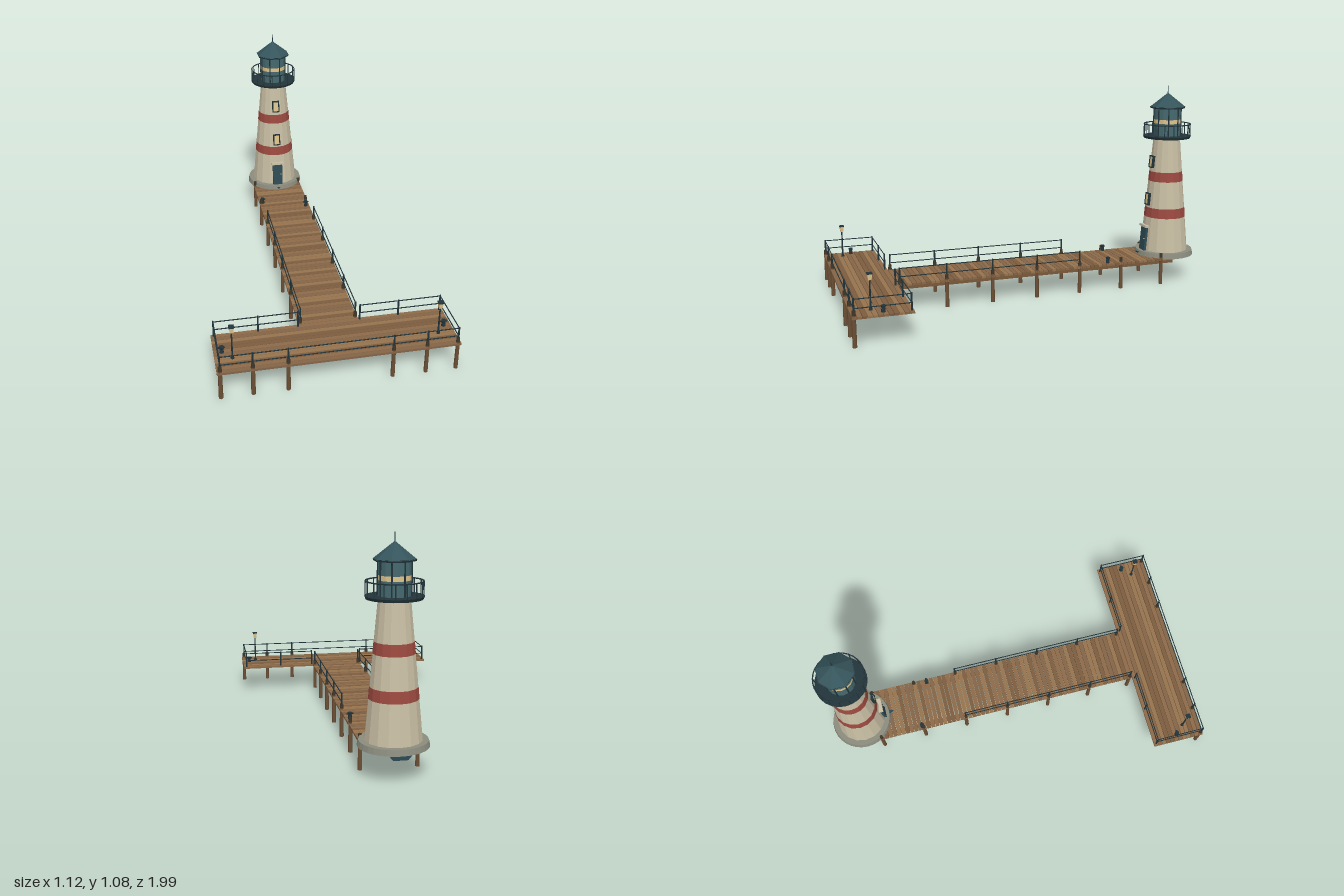
import * as THREE from 'three';

const mat = (color, extra = {}) => new THREE.MeshStandardMaterial({ color, flatShading: true, ...extra });
const M = {
  planks: [0x8c6a48, 0x7d5d3f, 0x96734f, 0x846446].map((c) => mat(c)),
  pile: mat(0x6b4f35), beam: mat(0x7a5a3a), collar: mat(0x3f3628),
  iron: mat(0x22343a), roof: mat(0x35545b), glass: mat(0x45696f),
  wall: mat(0xc9bfa4), red: mat(0x9c4a40), stone: mat(0x8b8c7e),
  glow: mat(0xe0c48c), door: mat(0x2f4c55), boat: mat(0x2b4a54),
};
const DECK = 0.144;
const TZ = -0.835; // tower axis

export function createModel() {
  const root = new THREE.Group();
  const group = (name, parent = root) => {
    const g = new THREE.Group();
    g.name = name;
    parent.add(g);
    return g;
  };
  const add = (parent, name, geo, material, x = 0, y = 0, z = 0) => {
    const m = new THREE.Mesh(geo, material);
    m.name = name;
    m.position.set(x, y, z);
    parent.add(m);
    return m;
  };
  const box = (p, name, w, h, d, material, x, y, z) =>
    add(p, name, new THREE.BoxGeometry(w, h, d), material, x, y, z);
  // Upright cylinder between two heights
  const post = (p, name, rTop, rBot, y0, y1, sides, material, x, z) =>
    add(p, name, new THREE.CylinderGeometry(rTop, rBot, y1 - y0, sides), material, x, (y0 + y1) / 2, z);
  // Thin bar between two points
  const bar = (p, name, a, b, r, material) => {
    const va = new THREE.Vector3(...a), vb = new THREE.Vector3(...b);
    const dir = vb.clone().sub(va);
    const m = add(p, name, new THREE.CylinderGeometry(r, r, dir.length(), 6), material);
    m.position.copy(va).add(vb).multiplyScalar(0.5);
    m.quaternion.setFromUnitVectors(new THREE.Vector3(0, 1, 0), dir.normalize());
  };

  // Decking: planks across x
  const decking = (name, halfW, z0, z1, count) => {
    const g = group(name);
    const pitch = (z1 - z0) / count;
    for (let i = 0; i < count; i++)
      box(g, 'plank', halfW * 2, 0.011, pitch * 0.9, M.planks[(i * 7 + (i >> 2)) % 4],
        0, DECK - 0.0055, z0 + (i + 0.5) * pitch);
  };
  decking('walkwayDeck', 0.143, -0.83, 0.712, 64);
  decking('pierHeadDeck', 0.562, 0.712, 0.996, 12);
  for (const s of [-1, 1]) box(root, 'stringer', 0.018, 0.022, 1.53, M.beam, s * 0.113, 0.122, -0.065);

  // Piles with dark collars
  const piles = group('piles');
  const pile = (x, z) => {
    post(piles, 'pile', 0.0095, 0.0105, 0, 0.15, 8, M.pile, x, z);
    post(piles, 'pileCollar', 0.008, 0.0095, 0.15, 0.172, 8, M.collar, x, z);
  };
  const sideZ = [0.7, 0.46, 0.218, -0.024, -0.266, -0.508, -0.75];
  const frontX = [0.548, 0.402, 0.243];
  for (const s of [-1, 1]) {
    sideZ.forEach((z) => pile(s * 0.134, z));
    frontX.forEach((x) => pile(s * x, 0.985));
  }

  // Railings: posts plus two rails
  const rails = group('railings');
  const railPost = (x, z) => post(rails, 'railPost', 0.004, 0.005, DECK, 0.229, 6, M.iron, x, z);
  const railPair = (x0, z0, x1, z1) => {
    for (const y of [0.181, 0.224]) bar(rails, 'rail', [x0, y, z0], [x1, y, z1], 0.0026, M.iron);
  };
  railPair(-0.548, 0.985, 0.548, 0.985);
  for (const s of [-1, 1]) {
    sideZ.slice(0, 5).forEach((z) => railPost(s * 0.134, z));
    railPair(s * 0.134, 0.7, s * 0.134, -0.266);
    frontX.forEach((x) => railPost(s * x, 0.985));
    railPair(s * 0.548, 0.985, s * 0.548, 0.725);
    railPair(s * 0.548, 0.725, s * 0.15, 0.725);
    [0.548, 0.34, 0.15].forEach((x) => railPost(s * x, 0.725));
  }

  // Lamp posts
  for (const s of [-1, 1]) {
    const g = group('lampPost');
    g.position.set(s * 0.482, 0, 0.9);
    post(g, 'lampFoot', 0.007, 0.009, DECK, 0.157, 8, M.iron, 0, 0);
    post(g, 'lampPole', 0.0035, 0.0045, DECK, 0.288, 6, M.iron, 0, 0);
    box(g, 'lampCap', 0.025, 0.006, 0.025, M.iron, 0, 0.316, 0);
    const lantern = post(g, 'lampLantern', 0.0155, 0.011, 0.286, 0.313, 4, M.glow, 0, 0);
    lantern.rotation.y = Math.PI / 4;
  }

  // Mooring bollards
  for (const [x, z] of [[-0.525, 0.85], [0.525, 0.85], [-0.125, -0.515], [0.122, -0.435]]) {
    const g = group('bollard');
    g.position.set(x, 0, z);
    post(g, 'bollardStem', 0.008, 0.011, DECK, 0.167, 8, M.iron, 0, 0);
    post(g, 'bollardHead', 0.012, 0.01, 0.165, 0.176, 8, M.iron, 0, 0);
    bar(g, 'bollardPin', [-0.017, 0.17, 0], [0.017, 0.17, 0], 0.004, M.iron);
  }

  // Tower: stacked tapered sections in alternating colours
  const tower = group('lighthouse');
  tower.position.z = TZ;
  const radiusAt = (y) => 0.131 - (y - 0.165) * 0.093;
  post(tower, 'stoneBase', 0.157, 0.163, 0.14, 0.167, 32, M.stone, 0, 0);
  const cuts = [0.16, 0.355, 0.408, 0.556, 0.609, 0.8];
  for (let i = 0; i < 5; i++) {
    const out = i % 2 ? 0.001 : 0;
    post(tower, i % 2 ? 'redBand' : 'towerWall', radiusAt(cuts[i + 1]) + out, radiusAt(cuts[i]) + out,
      cuts[i], cuts[i + 1], 16, i % 2 ? M.red : M.wall, 0, 0);
  }

  // Door and windows lean with the wall
  const onWall = (name, y) => {
    const g = group(name, tower);
    g.position.set(0, y, radiusAt(y));
    g.rotation.x = -Math.atan(0.093);
    return g;
  };
  const door = onWall('door', 0.232);
  box(door, 'doorPanel', 0.058, 0.132, 0.016, M.door, 0, 0, 0);
  box(door, 'doorLintel', 0.077, 0.012, 0.026, M.wall, 0, 0.071, 0.004);
  box(door, 'doorKnob', 0.005, 0.005, 0.006, M.glow, 0.02, 0, 0.009);
  for (const y of [0.455, 0.663]) {
    const w = onWall('window', y);
    box(w, 'windowPane', 0.03, 0.058, 0.014, M.glow, 0, 0, 0);
    for (const s of [-1, 1]) {
      box(w, 'windowJamb', 0.006, 0.068, 0.02, M.iron, s * 0.0175, 0, 0);
      box(w, 'windowRail', 0.041, 0.006, 0.02, M.iron, 0, s * 0.031, 0);
    }
  }

  // Gallery with balusters
  const gallery = group('gallery', tower);
  post(gallery, 'galleryFloor', 0.131, 0.126, 0.794, 0.807, 24, M.iron, 0, 0);
  const ring = add(gallery, 'galleryRail', new THREE.TorusGeometry(0.126, 0.0032, 6, 32), M.iron, 0, 0.871, 0);
  ring.rotation.x = Math.PI / 2;
  for (let i = 0; i < 16; i++) {
    const a = ((i + 0.5) / 16) * Math.PI * 2;
    post(gallery, 'baluster', 0.0028, 0.0028, 0.805, 0.871, 6, M.iron, Math.sin(a) * 0.126, Math.cos(a) * 0.126);
  }

  // Lantern room
  const room = group('lanternRoom', tower);
  post(room, 'lowerGlass', 0.073, 0.073, 0.805, 0.875, 16, M.glass, 0, 0);
  post(room, 'lightBand', 0.073, 0.073, 0.875, 0.897, 16, M.glow, 0, 0);
  post(room, 'upperGlass', 0.073, 0.073, 0.897, 0.962, 16, M.glass, 0, 0);
  for (let i = 0; i < 8; i++) {
    const a = ((i + 0.5) / 8) * Math.PI * 2;
    post(room, 'mullion', 0.004, 0.004, 0.805, 0.96, 6, M.iron, Math.sin(a) * 0.074, Math.cos(a) * 0.074);
  }
  post(room, 'eave', 0.096, 0.094, 0.957, 0.966, 8, M.iron, 0, 0).rotation.y = Math.PI / 8;
  post(room, 'roof', 0.002, 0.097, 0.964, 1.04, 8, M.roof, 0, 0).rotation.y = Math.PI / 8;
  post(room, 'finial', 0.002, 0.003, 1.03, 1.08, 6, M.iron, 0, 0);

  // Small hull beneath the base: narrows to a raised bow at +z
  const hull = new THREE.BoxGeometry(1, 1, 1, 2, 1, 8);
  const p = hull.attributes.position;
  for (let i = 0; i < p.count; i++) {
    const t = p.getZ(i) + 0.5; // 0 stern, 1 bow
    const top = p.getY(i) > 0;
    const taper = 1 - Math.pow(t, 3) * 0.96;
    p.setXYZ(i, p.getX(i) * (top ? 0.105 : 0.066) * taper,
      (top ? 0.138 : 0.115) + Math.pow(t, 4) * (top ? 0.025 : 0.034),
      -0.978 + t * (top ? 0.325 : 0.305));
  }
  hull.computeVertexNormals();
  add(root, 'boatHull', hull, M.boat);

  return root;
}
